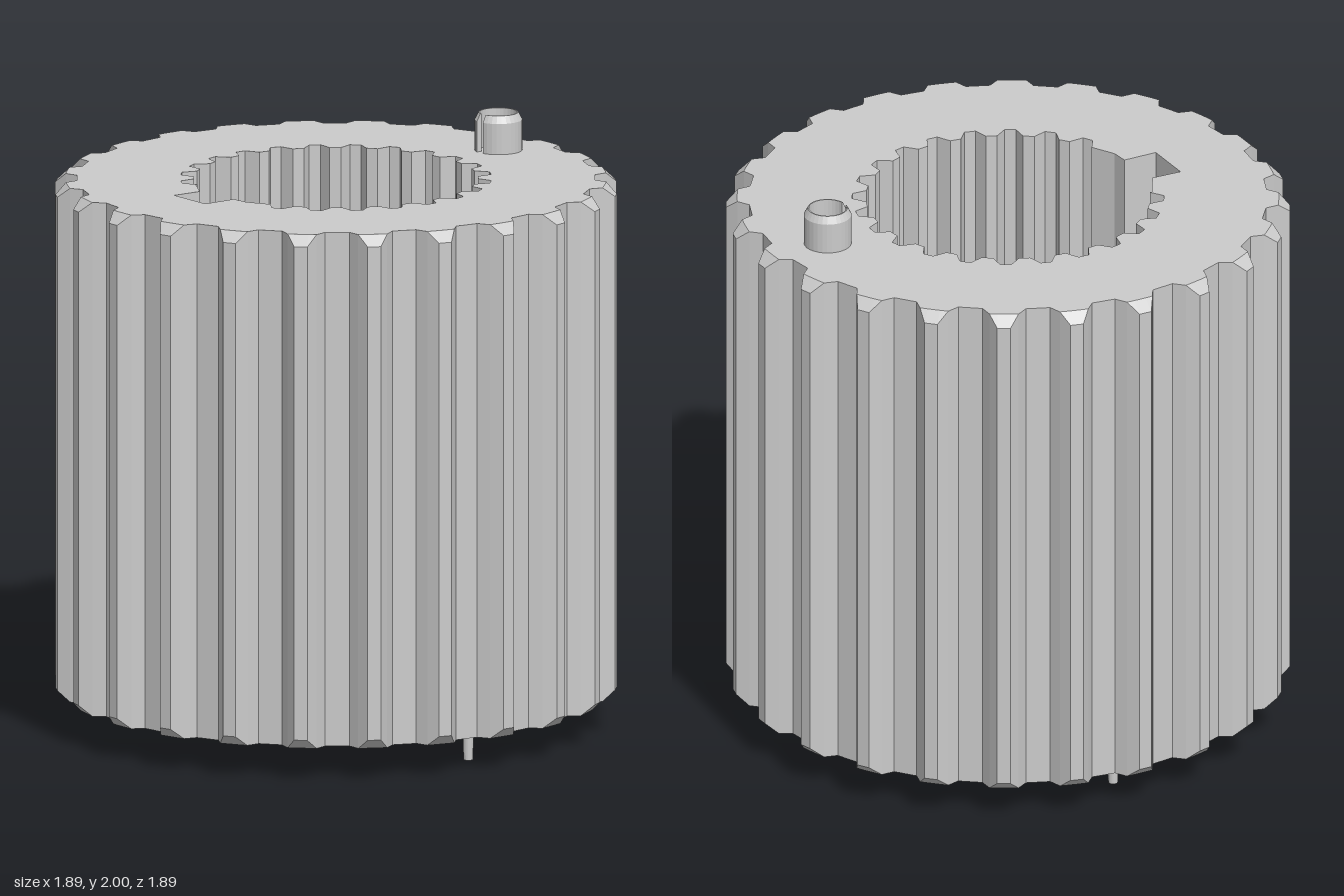
import * as THREE from 'three';

const TEETH = 24, BOTTOM = 0.11, TOP = 1.87, CHAMFER = 0.035, RIM = 0.907;
const rad = THREE.MathUtils.degToRad;
const mat = new THREE.MeshStandardMaterial({ color: 0xcccccc, flatShading: true, side: THREE.DoubleSide });

const polar = (r, deg) => new THREE.Vector2(r * Math.cos(rad(deg)), r * Math.sin(rad(deg)));

// Outer spline outline; the middle flank points sit on the chamfer's rim
function outerOutline() {
  const pts = [];
  const tooth = [[-4.8, 0.868], [-3.1, RIM], [-1.35, 0.945], [1.35, 0.945], [3.1, RIM], [4.8, 0.868]];
  for (let i = 0; i < TEETH; i++)
    for (const [a, r] of tooth) pts.push(polar(r, i * 15 + a));
  return pts;
}

// Bore outline: fine grooves interrupted by a keyway on the -x side
function boreOutline() {
  const pts = [];
  const groove = [[-5.2, 0.476], [-2.1, 0.522], [2.1, 0.522], [5.2, 0.476]];
  for (let i = 0; i < TEETH; i++) {
    if (i === 11) {
      for (const [x, y] of [[-0.44, 0.2], [-0.495, 0.105], [-0.6, 0.11], [-0.6, -0.06], [-0.48, -0.06], [-0.475, -0.12]])
        pts.push(new THREE.Vector2(x, y));
    }
    if (i >= 11 && i <= 13) continue;
    for (const [a, r] of groove) pts.push(polar(r, i * 15 + a));
  }
  return pts;
}

const clampTo = (pts, r) => pts.map(p => p.clone().clampLength(0, r));

// Wall through stacked outlines; each layer is { y, pts }
function wall(layers, inward) {
  const pos = [];
  const tri = (a, b, c) => pos.push(...a, ...(inward ? [...c, ...b] : [...b, ...c]));
  for (let k = 0; k < layers.length - 1; k++) {
    const lo = layers[k], hi = layers[k + 1], n = lo.pts.length;
    const at = (layer, i) => [layer.pts[i % n].x, layer.y, -layer.pts[i % n].y];
    for (let i = 0; i < n; i++) {
      const a = at(lo, i), b = at(lo, i + 1), c = at(hi, i + 1), d = at(hi, i);
      // the diagonal follows the crease between chamfer and flank
      const full = k === 0 ? hi : lo;
      const rising = full.pts[(i + 1) % n].length() > full.pts[i].length();
      if (rising === (k === 0)) { tri(a, b, c); tri(a, c, d); }
      else { tri(a, b, d); tri(b, c, d); }
    }
  }
  const geo = new THREE.BufferGeometry();
  geo.setAttribute('position', new THREE.Float32BufferAttribute(pos, 3));
  geo.computeVertexNormals();
  return geo;
}

function add(parent, name, geo, x = 0, y = 0, z = 0) {
  const mesh = new THREE.Mesh(geo, mat);
  mesh.name = name;
  mesh.position.set(x, y, z);
  parent.add(mesh);
  return mesh;
}

export function createModel() {
  const model = new THREE.Group();
  model.name = 'splinedSleeve';

  // Splined sleeve: outer teeth, bore and two flat end faces
  const outer = outerOutline(), rim = clampTo(outer, RIM), bore = boreOutline();
  add(model, 'outerSpline', wall([
    { y: BOTTOM, pts: rim }, { y: BOTTOM + CHAMFER, pts: outer },
    { y: TOP - CHAMFER, pts: outer }, { y: TOP, pts: rim },
  ], false));
  add(model, 'splinedBore', wall([{ y: BOTTOM, pts: bore }, { y: TOP, pts: bore }], true));

  const face = new THREE.Shape(rim);
  face.holes.push(new THREE.Path(bore));
  add(model, 'topFace', new THREE.ShapeGeometry(face).rotateX(-Math.PI / 2), 0, TOP);
  const under = new THREE.ShapeGeometry(face).rotateX(-Math.PI / 2);
  under.index.array.reverse();
  under.computeVertexNormals();
  add(model, 'bottomFace', under, 0, BOTTOM);

  // Hollow slotted pin on the top face, slot towards the bore
  const pin = new THREE.Group();
  pin.name = 'slottedPin';
  pin.position.set(0.7, TOP, -0.015);
  const section = [[0.063, 0], [0.08, 0], [0.08, 0.105], [0.067, 0.13], [0.063, 0.13], [0.063, 0]]
    .map(([x, y]) => new THREE.Vector2(x, y));
  const start = rad(-78), sweep = rad(336);
  add(pin, 'pinTube', new THREE.LatheGeometry(section, 28, start, sweep));
  for (const angle of [start, start + sweep])
    add(pin, 'slotEdge', new THREE.ShapeGeometry(new THREE.Shape(section))).rotation.y = angle - Math.PI / 2;
  model.add(pin);

  // Two thin locating pins below, front and back
  for (const side of [1, -1])
    add(model, 'locatingPin', new THREE.CylinderGeometry(0.019, 0.016, BOTTOM, 16), 0, BOTTOM / 2, side * 0.722);

  return model;
}
